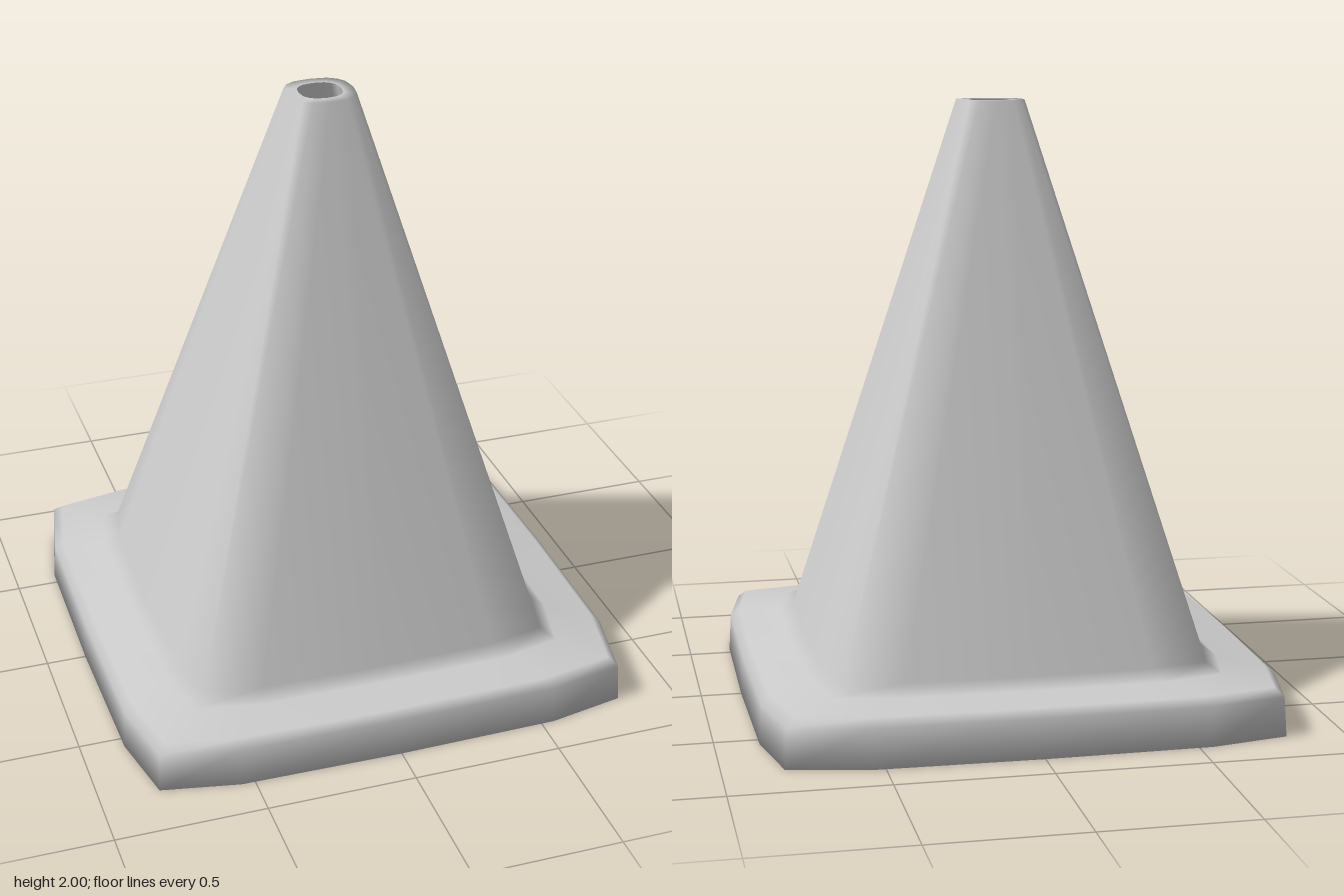
import * as THREE from 'three';

// Rounded-square ring of 16 points: side middle, point along the side, corner.
function ring(y, mid, along, side, corner) {
  const quarter = [[-along, side], [0, mid], [along, side], [corner, corner]];
  const points = [];
  for (let k = 0; k < 4; k++) {
    const c = Math.round(Math.cos(k * Math.PI / 2)), s = Math.round(Math.sin(k * Math.PI / 2));
    for (const [x, z] of quarter) points.push([x * c + z * s, y, z * c - x * s]);
  }
  return points;
}

// Smooth skin through successive rings; separate skins keep a sharp edge between them.
function loft(name, rings, material) {
  const n = rings[0].length, index = [];
  for (let i = 0; i < rings.length - 1; i++) {
    for (let j = 0; j < n; j++) {
      const a = i * n + j, b = i * n + (j + 1) % n;
      index.push(a, b, b + n, a, b + n, a + n);
    }
  }
  const geometry = new THREE.BufferGeometry();
  geometry.setAttribute('position', new THREE.Float32BufferAttribute(rings.flat(2), 3));
  geometry.setIndex(index);
  geometry.computeVertexNormals();
  const mesh = new THREE.Mesh(geometry, material);
  mesh.name = name;
  return mesh;
}

export function createModel() {
  const group = new THREE.Group();
  group.name = 'trafficCone';
  const material = new THREE.MeshStandardMaterial({ color: 0xcccccc, side: THREE.DoubleSide });

  const opening = ring(0, 0.59, 0.37, 0.58, 0.542);
  const rimInner = ring(2, 0.072, 0.036, 0.067, 0.054);

  // Underside, base flange, tapering body and top rim as one smooth shell
  group.add(loft('outerShell', [
    opening,
    ring(0, 0.865, 0.545, 0.857, 0.805),
    ring(0.13, 0.858, 0.54, 0.85, 0.798),
    ring(0.155, 0.83, 0.52, 0.822, 0.772),
    ring(0.167, 0.69, 0.435, 0.682, 0.638),
    ring(0.2, 0.645, 0.405, 0.637, 0.595),
    ring(2, 0.112, 0.057, 0.105, 0.086),
    rimInner,
  ], material));

  // Hollow inside: follows the body, then drops nearly straight through the base
  group.add(loft('innerWall', [
    rimInner,
    ring(0.2, 0.58, 0.364, 0.571, 0.534),
    opening,
  ], material));
  return group;
}
